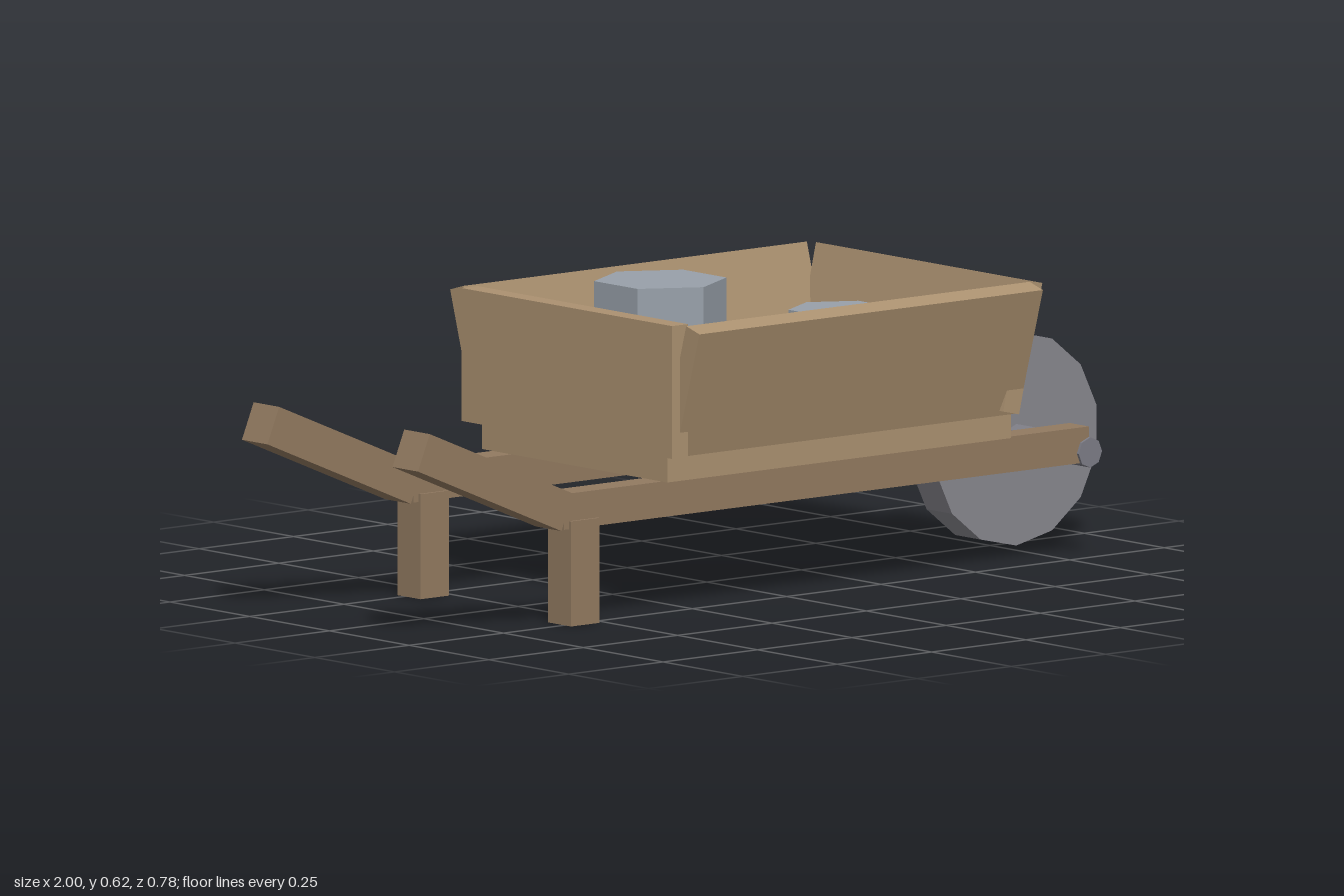
import * as THREE from 'three';

const material = (color) => new THREE.MeshStandardMaterial({ color, flatShading: true });

export function createModel() {
  const model = new THREE.Group();
  model.name = 'wheelbarrow';
  const frameWood = material(0x927a60);
  const boardWood = material(0xab9170);
  const wheelGrey = material(0x88878e);
  const axleGrey = material(0x7d7d86);
  const loadGrey = material(0x98a0a9);

  function add(name, geometry, mat, x, y, z) {
    const mesh = new THREE.Mesh(geometry, mat);
    mesh.name = name;
    mesh.position.set(x, y, z);
    model.add(mesh);
    return mesh;
  }
  const box = (name, mat, w, h, d, x, y, z) =>
    add(name, new THREE.BoxGeometry(w, h, d), mat, x, y, z);
  const prism = (name, mat, radius, height, sides, x, y, z) =>
    add(name, new THREE.CylinderGeometry(radius, radius, height, sides), mat, x, y, z);

  // Mirrored parts: rails, handles, legs and flared side boards
  for (const [label, s] of [['front', 1], ['back', -1]]) {
    box(label + 'Rail', frameWood, 1.39, 0.073, 0.06, 0.092, 0.235, s * 0.236);
    box(label + 'Leg', frameWood, 0.075, 0.215, 0.072, -0.552, 0.1075, s * 0.236);
    const handle = box(label + 'Handle', frameWood, 0.412, 0.08, 0.08, -0.793, 0.3155, s * 0.236);
    handle.rotation.z = -0.398;
    const side = box(label + 'SideBoard', boardWood, 0.91, 0.272, 0.043, 0.105, 0.4635, s * 0.332);
    side.rotation.x = s * 0.283;
  }

  // Tray floor and end boards
  box('trayFloor', boardWood, 0.91, 0.057, 0.58, 0.105, 0.3015, 0);
  box('rearBoard', boardWood, 0.042, 0.272, 0.66, -0.35, 0.464, 0);
  const endBoard = box('wheelEndBoard', boardWood, 0.043, 0.27, 0.66, 0.558, 0.464, 0);
  endBoard.rotation.z = -0.23;

  // Wheel and axle
  prism('wheel', wheelGrey, 0.218, 0.08, 14, 0.786, 0.219, 0).rotation.x = Math.PI / 2;
  prism('axle', axleGrey, 0.031, 0.544, 8, 0.786, 0.219, 0).rotation.x = Math.PI / 2;

  // Hexagonal blocks standing in the tray
  prism('largeBlock', loadGrey, 0.136, 0.297, 6, -0.06, 0.4685, -0.075);
  prism('smallBlock', loadGrey, 0.107, 0.23, 6, 0.25, 0.435, 0.123);

  return model;
}
